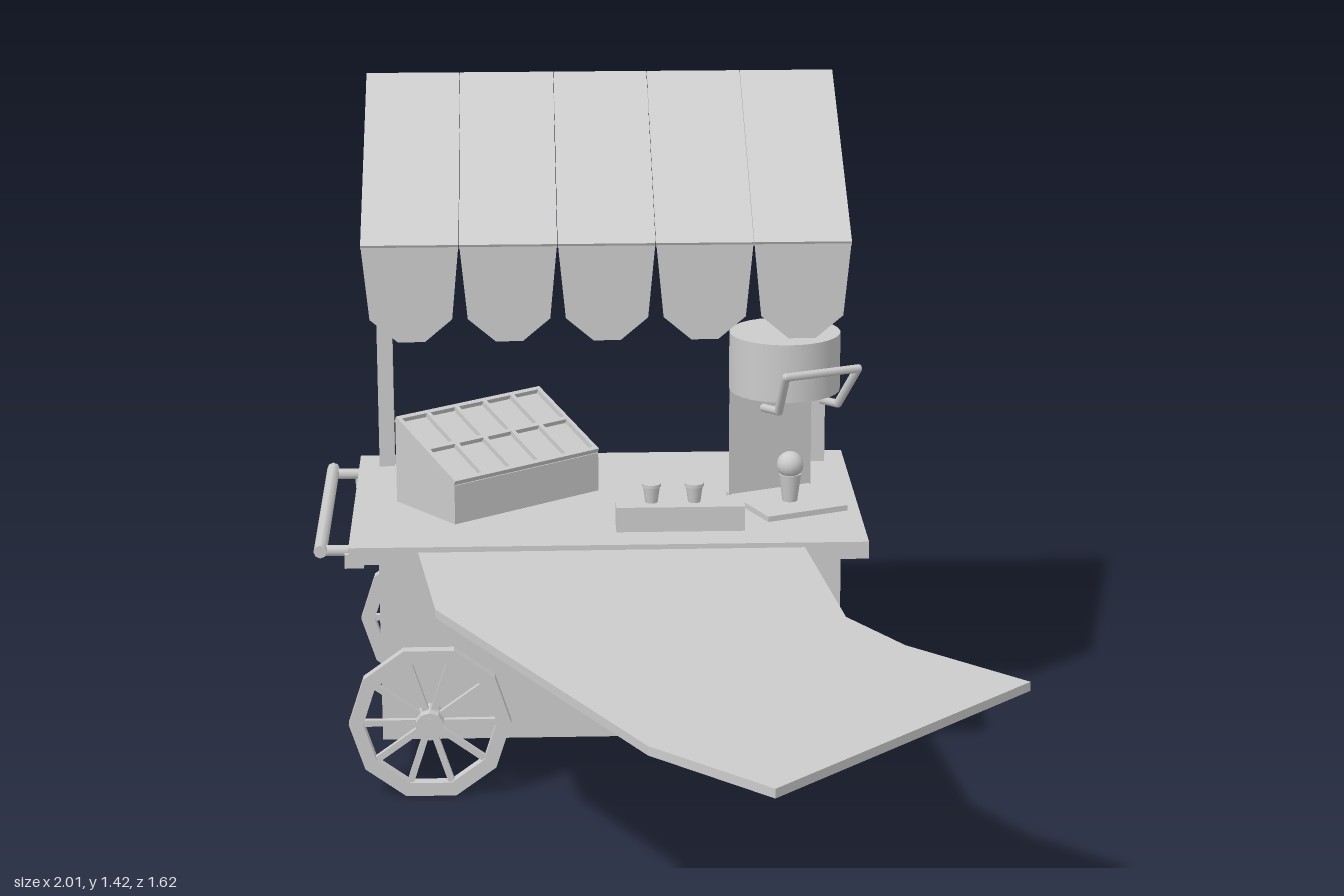
import * as THREE from 'three';

const grey = new THREE.MeshStandardMaterial({ color: 0xcccccc, side: THREE.DoubleSide });
const flat = new THREE.MeshStandardMaterial({ color: 0xcccccc, flatShading: true, side: THREE.DoubleSide });

function add(parent, name, geo, x = 0, y = 0, z = 0, mat = flat) {
  const m = new THREE.Mesh(geo, mat);
  m.name = name;
  m.position.set(x, y, z);
  parent.add(m);
  return m;
}
const box = (parent, name, w, h, d, x, y, z) => add(parent, name, new THREE.BoxGeometry(w, h, d), x, y, z);
function group(parent, name, x = 0, y = 0, z = 0) {
  const g = new THREE.Group();
  g.name = name;
  g.position.set(x, y, z);
  parent.add(g);
  return g;
}
// Round rod between two points
function rod(parent, name, a, b, r, sides = 8) {
  const p = new THREE.Vector3(...a), q = new THREE.Vector3(...b);
  const m = add(parent, name, new THREE.CylinderGeometry(r, r, p.distanceTo(q), sides), 0, 0, 0, grey);
  m.position.copy(p).add(q).multiplyScalar(0.5);
  m.quaternion.setFromUnitVectors(new THREE.Vector3(0, 1, 0), q.sub(p).normalize());
  return m;
}
const shapeOf = (pts) => new THREE.Shape(pts.map(([x, y]) => new THREE.Vector2(x, y)));
const extrude = (shape, depth) =>
  new THREE.ExtrudeGeometry(shape, { depth, bevelEnabled: false, curveSegments: 20 });

// Ten-sided spoked wheel, axle along z
function wheel(parent, name, r, width, x, y, z) {
  const g = group(parent, name, x, y, z);
  const ring = (rad) => Array.from({ length: 10 }, (_, i) =>
    new THREE.Vector2(rad * Math.cos(i * Math.PI / 5), rad * Math.sin(i * Math.PI / 5)));
  const rim = new THREE.Shape(ring(r));
  rim.holes.push(new THREE.Path(ring(r * 0.82)));
  add(g, 'rim', extrude(rim, width), 0, 0, -width / 2);
  for (let i = 0; i < 10; i++) {
    const a = i * Math.PI / 5;
    const s = box(g, 'spoke', r * 0.72, r * 0.08, width * 0.5, Math.cos(a) * r * 0.47, Math.sin(a) * r * 0.47, 0);
    s.rotation.z = a;
  }
  const hub = add(g, 'hub', new THREE.CylinderGeometry(r * 0.18, r * 0.18, width * 2.4, 10));
  hub.rotation.x = Math.PI / 2;
}

function buildCart(root) {
  const cart = group(root, 'cart', -0.36, 0, -0.195);
  cart.rotation.y = Math.PI / 4;
  box(cart, 'body', 0.965, 0.405, 0.58, 0.003, 0.3075, 0);
  box(cart, 'counter', 1.08, 0.037, 0.67, 0, 0.5275, 0);

  // Wheels, axle and castor
  for (const s of [-1, 1]) wheel(cart, 'mainWheel', 0.17, 0.026, -0.378, 0.162, s * 0.338);
  rod(cart, 'axle', [-0.378, 0.162, -0.37], [-0.378, 0.162, 0.37], 0.018);
  wheel(cart, 'castorWheel', 0.06, 0.018, 0.24, 0.058, 0.007);
  for (const s of [-1, 1]) box(cart, 'castorFork', 0.022, 0.075, 0.006, 0.24, 0.082, 0.007 + s * 0.02);
  box(cart, 'castorMount', 0.05, 0.012, 0.055, 0.24, 0.108, 0.007);

  // Push handle
  rod(cart, 'handleBar', [-0.6, 0.527, -0.3], [-0.6, 0.527, 0.3], 0.014);
  for (const s of [-1, 1]) {
    rod(cart, 'handleArm', [-0.61, 0.522, s * 0.275], [-0.48, 0.522, s * 0.275], 0.012);
    box(cart, 'handleBracket', 0.04, 0.03, 0.03, -0.53, 0.505, s * 0.285);
  }

  // Table struts
  for (const s of [-1, 1]) rod(cart, 'tableStrut', [s * 0.18, 0.365, 0.288], [s * 0.185, 0.515, 0.515], 0.012);

  // Posts and roof frame
  const slope = Math.atan2(0.26, 0.52);
  for (const s of [-1, 1]) {
    box(cart, 'post', 0.034, 0.84, 0.03, s * 0.478, 0.96, -0.265);
    box(cart, 'roofArm', 0.026, 0.04, 0.47, s * 0.478, 1.127, -0.035);
    box(cart, 'rafter', 0.026, 0.035, 0.52, s * 0.478, 1.258, -0.03).rotation.x = slope;
  }
  box(cart, 'backBeam', 0.96, 0.04, 0.026, 0, 1.357, -0.265);

  // Striped awning with a scalloped valance
  const scallop = extrude(shapeOf([[-0.1, 0], [-0.085, -0.155], [-0.028, -0.203],
    [0.028, -0.203], [0.085, -0.155], [0.1, 0]]), 0.008);
  for (let i = -2; i <= 2; i++) {
    box(cart, 'awningPanel', 0.201, 0.01, 0.582, i * 0.202, 1.288, -0.03).rotation.x = slope;
    add(cart, 'awningScallop', scallop, i * 0.202, 1.16, 0.222);
  }

  // Cup tray
  box(cart, 'cupTray', 0.27, 0.055, 0.08, 0.152, 0.572, 0.21);
  for (const dx of [-0.06, 0.03]) {
    add(cart, 'cup', new THREE.CylinderGeometry(0.018, 0.013, 0.035, 12), 0.152 + dx, 0.617, 0.21, grey);
    add(cart, 'cupLid', new THREE.CylinderGeometry(0.02, 0.02, 0.007, 12), 0.152 + dx, 0.637, 0.21, grey);
  }
}

// Sloped display box with a two by five grid of compartments
function buildDisplay(root) {
  const g = group(root, 'displayBox', -0.537, 0.546, -0.045);
  g.rotation.y = 1.43;
  const w = 0.385, d = 0.212;
  const side = extrude(shapeOf([[-d / 2, 0], [d / 2, 0], [d / 2, 0.085], [-d / 2, 0.18]]), w);
  add(g, 'case', side, w / 2, 0, 0).rotation.y = -Math.PI / 2;
  g.children[0].scale.x = 1;
  g.children[0].position.x = w / 2;
  const top = group(g, 'compartmentGrid', 0, 0.1365, 0);
  top.rotation.x = Math.atan2(0.095, d);
  const len = Math.hypot(0.095, d);
  for (let i = 0; i <= 5; i++) box(top, 'divider', 0.01, 0.014, len, -w / 2 + 0.005 + i * (w - 0.01) / 5, 0, 0);
  for (let i = -1; i <= 1; i++) box(top, 'crossDivider', w, 0.014, 0.01, 0, 0, i * (len / 2 - 0.005));
}

// Drinks machine, facing its own +x
function buildMachine(root) {
  const g = group(root, 'drinksMachine', -0.055, 0, -0.43);
  g.rotation.y = -0.38;
  const r = 0.118;
  add(g, 'head', new THREE.CylinderGeometry(r, r, 0.125, 28), 0, 0.8625, 0, grey);
  const back = new THREE.Shape();
  back.absarc(0, 0, r, Math.PI - 1, Math.PI + 1, false);
  back.closePath();
  add(g, 'column', extrude(back, 0.26), 0, 0.546, 0, grey).rotation.x = -Math.PI / 2;
  box(g, 'dripPlate', 0.2, 0.012, 0.19, 0.015, 0.552, 0);
  add(g, 'nozzle', new THREE.CylinderGeometry(0.02, 0.014, 0.03, 12), 0.02, 0.79, 0, grey);

  // Bent handle loop
  const pts = [[0.04, 0.775, -0.07], [0.11, 0.785, -0.07], [0.17, 0.875, -0.085],
    [0.17, 0.875, 0.085], [0.11, 0.785, 0.07], [0.04, 0.775, 0.07]];
  for (let i = 0; i < pts.length - 1; i++) {
    rod(g, 'handleLoop', pts[i], pts[i + 1], 0.009);
    if (i) add(g, 'handleJoint', new THREE.SphereGeometry(0.009, 8, 6), ...pts[i], grey);
  }
  // Cup with a round scoop
  add(g, 'scoopCup', new THREE.CylinderGeometry(0.024, 0.016, 0.06, 14), 0.03, 0.588, 0, grey);
  add(g, 'scoop', new THREE.SphereGeometry(0.029, 14, 10), 0.03, 0.638, 0, grey);
}

export function createModel() {
  const root = new THREE.Group();
  root.name = 'marketCart';
  buildCart(root);
  buildDisplay(root);
  buildMachine(root);

  // Wide side table that sweeps away from the counter
  const table = shapeOf([[0.165, 0.245], [0.51, -0.035], [0.7, -0.085], [1, -0.085],
    [1, -0.81], [0.7, -0.81], [-0.115, -0.55], [-0.4, -0.325]]);
  add(root, 'sweptTable', extrude(table, 0.018), 0, 0.518, 0).rotation.x = -Math.PI / 2;
  return root;
}
